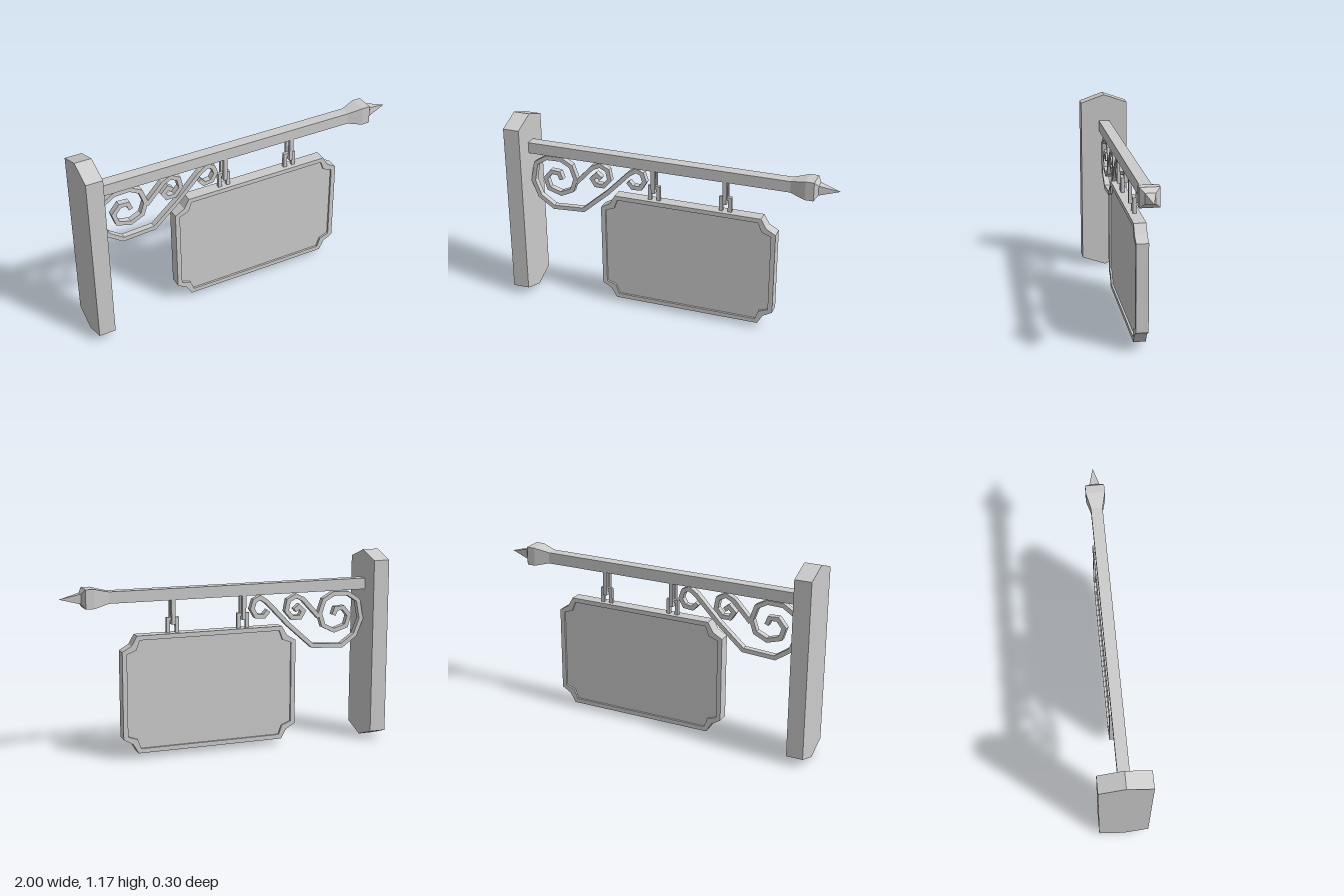
import * as THREE from 'three';

const mat = new THREE.MeshStandardMaterial({ color: 0xcccccc, flatShading: true });

function add(parent, name, geo, x = 0, y = 0, z = 0) {
  const m = new THREE.Mesh(geo, mat);
  m.name = name;
  m.position.set(x, y, z);
  parent.add(m);
  return m;
}

const toV = (pts) => pts.map(([x, y]) => new THREE.Vector2(x, y));

// Extrusion centred on z = 0
function slab(shape, depth) {
  const g = new THREE.ExtrudeGeometry(shape, { depth, bevelEnabled: false });
  return g.translate(0, 0, -depth / 2);
}

// Flat bar of constant width with mitred corners along a polyline
function ribbon(path, width, depth) {
  const p = toV(path), left = [], right = [];
  p.forEach((c, i) => {
    const a = p[Math.max(i - 1, 0)], b = p[Math.min(i + 1, p.length - 1)];
    const d1 = (i ? c.clone().sub(a) : b.clone().sub(c)).normalize();
    const d2 = (i < p.length - 1 ? b.clone().sub(c) : d1.clone()).normalize();
    const n = new THREE.Vector2(-d1.y - d2.y, d1.x + d2.x).normalize();
    const k = width / 2 / Math.max(0.5, n.dot(new THREE.Vector2(-d1.y, d1.x)));
    left.push(c.clone().addScaledVector(n, k));
    right.push(c.clone().addScaledVector(n, -k));
  });
  return slab(new THREE.Shape([...left, ...right.reverse()]), depth);
}

// Board outline with notched corners, counter-clockwise
function boardOutline(w, h, c, e) {
  const corner = [[w, h - c], [w - e, h - e], [w - c, h]];
  const flip = (sx, sy) => corner.map(([x, y]) => [x * sx, y * sy]);
  return toV([
    ...flip(1, 1), ...flip(-1, 1).reverse(),
    ...flip(-1, -1), ...flip(1, -1).reverse(),
  ]);
}

export function createModel() {
  const model = new THREE.Group();
  model.name = 'hangingSign';

  // Wall plate with pointed ends
  const plate = new THREE.Shape(toV([
    [0, 0], [0.15, 0.053], [0.15, 1.117], [0, 1.17], [-0.15, 1.117], [-0.15, 0.053],
  ]));
  add(model, 'wallPlate', slab(plate, 0.1).rotateY(Math.PI / 2), -0.95);

  // Square beam flaring into a pointed finial
  const profile = [
    [0, -0.91], [0.034, -0.91], [0.034, 0.72], [0.056, 0.81],
    [0.056, 0.86], [0.029, 0.88], [0, 1],
  ].map(([r, x]) => new THREE.Vector2(r * Math.SQRT2, x));
  const beam = new THREE.LatheGeometry(profile, 4);
  beam.rotateY(Math.PI / 4).rotateZ(-Math.PI / 2);
  add(model, 'beam', beam, 0, 0.963);

  // Scrollwork bracket
  const bracket = new THREE.Group();
  bracket.name = 'scrollBracket';
  model.add(bracket);
  const mainScroll = [
    [-0.7, 0.775], [-0.715, 0.815], [-0.765, 0.818], [-0.805, 0.77],
    [-0.785, 0.705], [-0.705, 0.68], [-0.632, 0.715], [-0.607, 0.79],
    [-0.635, 0.872], [-0.7, 0.908], [-0.795, 0.905], [-0.865, 0.86],
    [-0.887, 0.745], [-0.848, 0.645], [-0.757, 0.582], [-0.56, 0.594],
    [-0.4, 0.735], [-0.26, 0.88], [-0.215, 0.91], [-0.178, 0.893],
    [-0.162, 0.845], [-0.188, 0.8], [-0.238, 0.795], [-0.267, 0.828],
  ];
  const sideScroll = [
    [-0.602, 0.77], [-0.495, 0.885], [-0.447, 0.908], [-0.398, 0.882],
    [-0.386, 0.82], [-0.425, 0.775], [-0.475, 0.775], [-0.498, 0.812],
    [-0.468, 0.842], [-0.44, 0.82],
  ];
  add(bracket, 'mainScroll', ribbon(mainScroll, 0.026, 0.037));
  add(bracket, 'sideScroll', ribbon(sideScroll, 0.026, 0.036));

  // Hanging board: raised rim around a recessed panel
  const board = new THREE.Group();
  board.name = 'board';
  board.position.set(0.106, 0.383, 0);
  model.add(board);
  const inner = boardOutline(0.515, 0.323, 0.078, 0.057);
  const rim = new THREE.Shape(boardOutline(0.543, 0.35, 0.09, 0.057));
  rim.holes.push(new THREE.Path(inner));
  add(board, 'rim', slab(rim, 0.072));
  add(board, 'panel', slab(new THREE.Shape(inner), 0.048));

  // Two pairs of interlocking square links
  for (const x of [-0.105, 0.335]) {
    const hanger = new THREE.Group();
    hanger.name = 'hanger';
    hanger.position.x = x;
    model.add(hanger);
    for (const s of [-1, 1]) {
      add(hanger, 'upperLinkSide', new THREE.BoxGeometry(0.024, 0.15, 0.019), 0, 0.86, s * 0.0215);
      add(hanger, 'lowerLinkSide', new THREE.BoxGeometry(0.022, 0.1, 0.02), s * 0.027, 0.775);
    }
    add(hanger, 'upperLinkBar', new THREE.BoxGeometry(0.024, 0.02, 0.03), 0, 0.795);
    add(hanger, 'lowerLinkBar', new THREE.BoxGeometry(0.036, 0.02, 0.02), 0, 0.815);
  }

  return model;
}
